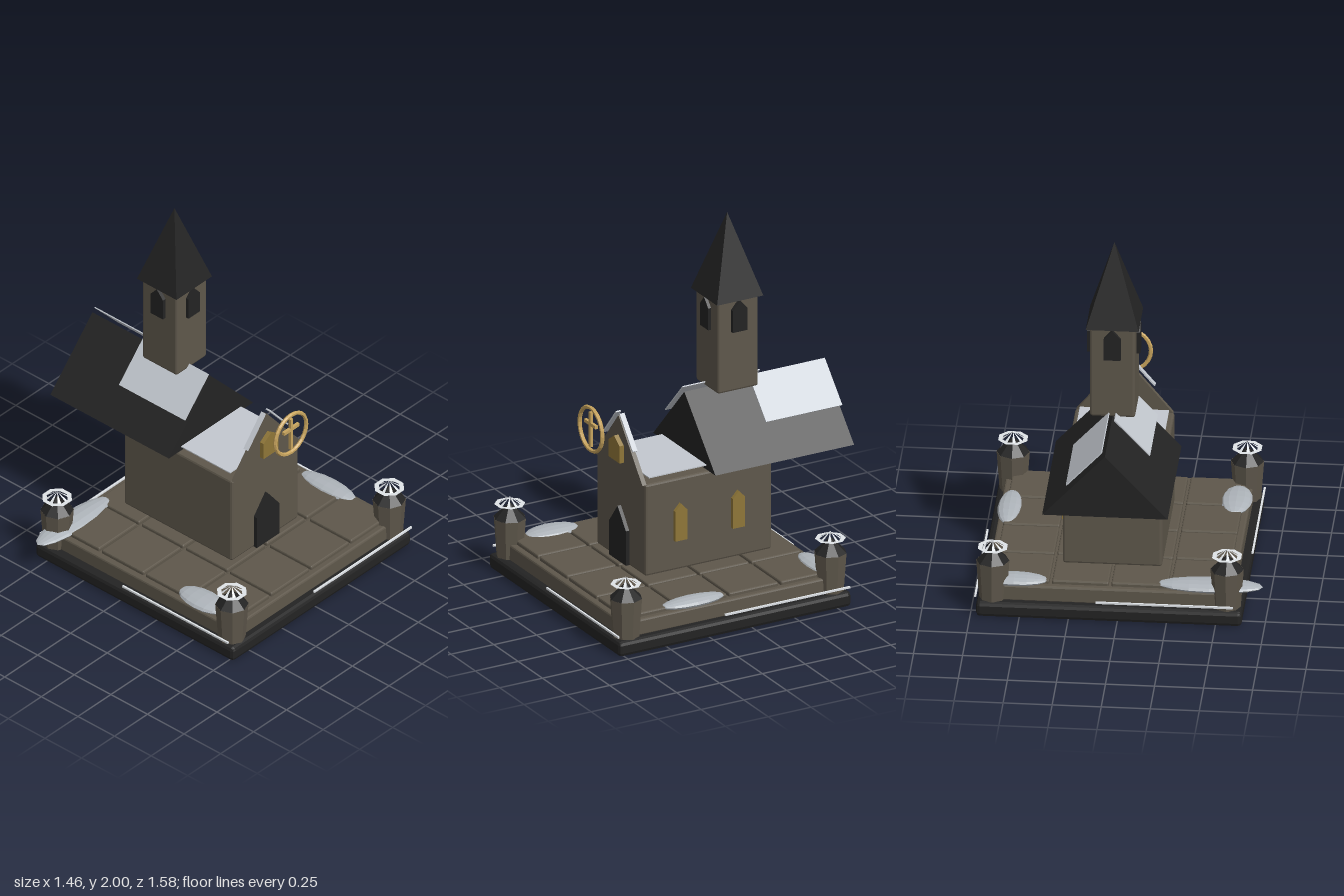
import * as THREE from 'three';
import { RoundedBoxGeometry } from 'three/addons/geometries/RoundedBoxGeometry.js';

const mat = (name, color, opts = {}) => {
  const m = new THREE.MeshStandardMaterial({ color, flatShading: true, ...opts });
  m.name = name;
  return m;
};

export function createModel() {
  const stone = mat('stone', 0x5e574b);
  const slate = mat('slate', 0x232323);
  const snow = mat('snow', 0xc3c8cf, { side: THREE.DoubleSide });
  const drift = mat('driftSnow', 0xaeb4ba);
  const frost = mat('frost', 0xe2e6ea, { side: THREE.DoubleSide });
  const gold = mat('gold', 0xc9a55e);
  const glass = mat('amberGlass', 0x8f7638);

  const model = new THREE.Group();
  const CX = 0.043, CZ = 0.103; // centre of the plinth
  const add = (name, geo, m, x = 0, y = 0, z = 0, parent = model) => {
    const mesh = new THREE.Mesh(geo, m);
    mesh.name = name;
    mesh.position.set(x, y, z);
    parent.add(mesh);
    return mesh;
  };
  // bevelled block given by its bounds
  const block = (name, m, x0, x1, y0, y1, z0, z1, r = 0.012) =>
    add(name, new RoundedBoxGeometry(x1 - x0, y1 - y0, z1 - z0, 1, r), m,
      (x0 + x1) / 2, (y0 + y1) / 2, (z0 + z1) / 2);
  const extrude = (pts, depth) => new THREE.ExtrudeGeometry(
    new THREE.Shape(pts.map(p => new THREE.Vector2(...p))), { depth, bevelEnabled: false });
  // pointed opening: rectangle with a triangular head, base on y = 0
  const lancet = (w, side, h, depth) => extrude(
    [[-w / 2, 0], [w / 2, 0], [w / 2, side], [0, h], [-w / 2, side]], depth);
  const triangle = (half, h, depth) => extrude([[-half, 0], [half, 0], [0, h]], depth);

  // Plinth and paving
  block('plinth', slate, CX - 0.677, CX + 0.677, 0, 0.082, CZ - 0.677, CZ + 0.677, 0.02);
  block('terrace', stone, CX - 0.63, CX + 0.63, 0.075, 0.165, CZ - 0.63, CZ + 0.63, 0.01);
  for (let i = 0; i < 4; i++) for (let j = 0; j < 4; j++) {
    const x = CX + (i - 1.5) * 0.302, z = CZ + (j - 1.5) * 0.302;
    block('pavingSlab', stone, x - 0.144, x + 0.144, 0.155, 0.186, z - 0.144, z + 0.144, 0.008);
  }

  // Corner pillars with slate caps and frost crowns
  for (const sx of [-1, 1]) for (const sz of [-1, 1]) {
    const pillar = new THREE.Group();
    pillar.name = 'cornerPillar';
    pillar.position.set(CX + sx * 0.597, 0, CZ + sz * 0.597);
    model.add(pillar);
    add('pillarShaft', new THREE.CylinderGeometry(0.085, 0.07, 0.21, 8), stone, 0, 0.185, 0, pillar);
    add('pillarCap', new THREE.ConeGeometry(0.085, 0.085, 8), slate, 0, 0.332, 0, pillar);
    const ring = add('frostRing', new THREE.RingGeometry(0.056, 0.08, 8), frost, 0, 0.366, 0, pillar);
    ring.rotation.x = -Math.PI / 2;
    ring.rotation.z = Math.PI / 8;
    for (let k = 0; k < 8; k++) {
      add('frostSpike', new THREE.ConeGeometry(0.06, 0.042, 1, 1, true, k * Math.PI / 4, 0.32),
        frost, 0, 0.383, 0, pillar);
    }
  }

  // Chapel body and gable
  block('chapelWalls', stone, -0.21, 0.296, 0.21, 0.715, -0.347, 0.39);
  add('frontGable', triangle(0.247, 0.3, 0.025), stone, CX, 0.712, 0.38);
  for (const s of [-1, 1]) {
    const trim = add('gableSnow', new THREE.BoxGeometry(0.21, 0.008, 0.028), snow,
      CX + s * 0.085, 0.945, 0.395);
    trim.rotation.z = -s * 0.87;
  }
  add('ceilingSnow', new THREE.BoxGeometry(0.455, 0.006, 0.45), snow, CX, 0.739, 0.13);

  // Door and windows
  add('door', lancet(0.172, 0.19, 0.3, 0.024), slate, CX, 0.213, 0.386);
  add('gableWindow', lancet(0.112, 0.095, 0.135, 0.03), glass, CX, 0.77, 0.4);
  for (const z of [0.192, -0.145]) {
    const w = add('sideWindow', lancet(0.07, 0.165, 0.203, 0.025), glass, 0.29, 0.376, z);
    w.rotation.y = Math.PI / 2;
  }

  // Roof with snow sheets on its two slopes
  add('roof', triangle(0.32, 0.345, 0.81), slate, CX, 0.715, -0.79);
  const roofSnow = (s, z0, z1) => {
    const plate = add('roofSnow', new THREE.BoxGeometry(0.265, 0.006, z1 - z0), snow,
      CX + s * 0.107, 0.985, (z0 + z1) / 2);
    plate.rotation.z = -s * 0.82;
  };
  roofSnow(1, -0.79, -0.345);
  roofSnow(-1, -0.43, 0.02);

  // Tower, louvres and spire
  const TZ = -0.23;
  block('tower', stone, CX - 0.115, CX + 0.115, 1.058, 1.57, TZ - 0.118, TZ + 0.118);
  const spire = add('spire', new THREE.ConeGeometry(0.135 * Math.SQRT2, 0.44, 4).rotateY(Math.PI / 4),
    slate, CX, 1.78, TZ);
  spire.name = 'spire';
  for (let k = 0; k < 4; k++) {
    const louvre = add('towerOpening', lancet(0.086, 0.12, 0.17, 0.025).translate(0, 0, 0.11),
      slate, CX, 1.39, TZ);
    louvre.rotation.y = k * Math.PI / 2;
  }

  // Ringed cross in front of the gable
  const cross = new THREE.Group();
  cross.name = 'ringedCross';
  cross.position.set(CX, 0.968, 0.565);
  model.add(cross);
  add('crossRing', new THREE.TorusGeometry(0.117, 0.011, 6, 24), gold, 0, 0, 0, cross);
  add('crossUpright', new THREE.BoxGeometry(0.018, 0.19, 0.016), gold, 0, 0, 0, cross);
  add('crossArm', new THREE.BoxGeometry(0.115, 0.018, 0.016), gold, 0, 0.03, 0, cross);

  // Snow drifts: x, z, half width, half length
  const drifts = [[-0.52, 0.475, 0.08, 0.152], [0.622, 0.3, 0.062, 0.18],
    [-0.465, -0.465, 0.27, 0.078], [0.53, -0.48, 0.17, 0.068]];
  for (const [x, z, rx, rz] of drifts) {
    const geo = new THREE.SphereGeometry(1, 12, 8);
    // turn the poles along the longer side so the ends taper
    if (rx > rz) geo.rotateZ(Math.PI / 2); else geo.rotateX(Math.PI / 2);
    add('snowDrift', geo, drift, x, 0.18, z).scale.set(rx, 0.026, rz);
  }

  // Frost strips around the plinth: x, z, size x, size z
  const strips = [[0.345, 0.784, 0.74, 0.01], [0.724, -0.195, 0.01, 0.73],
    [-0.638, 0.39, 0.01, 0.72], [-0.24, -0.578, 0.7, 0.01]];
  for (const [x, z, w, d] of strips) {
    add('frostStrip', new THREE.BoxGeometry(w, 0.01, d), frost, x, 0.112, z);
  }
  return model;
}
